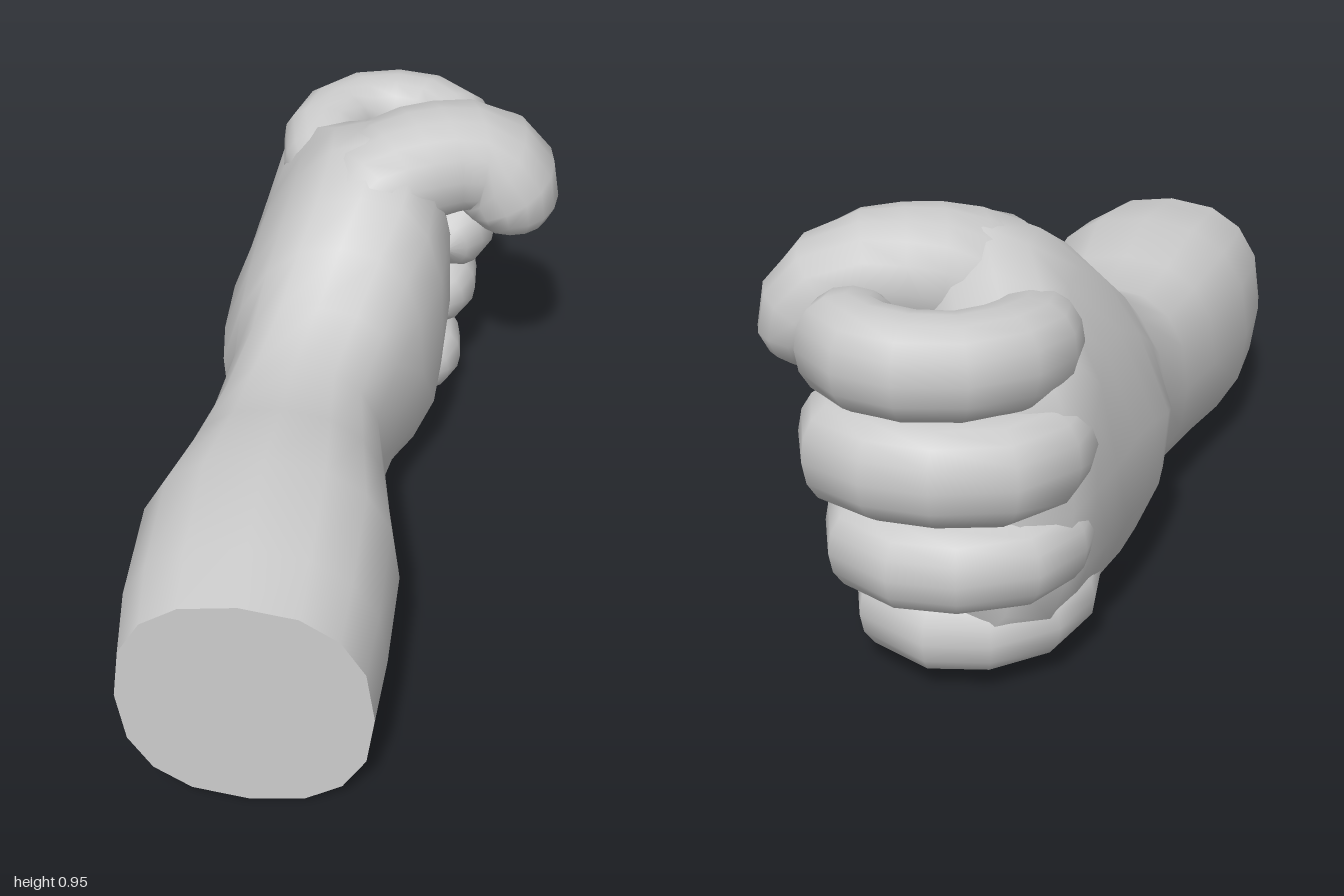
import * as THREE from 'three';

const SIDES = 16;
const material = new THREE.MeshStandardMaterial({ color: 0xcccccc });

// Rounded-square unit outline, counter-clockwise
function outline(i, power) {
  const a = (i / SIDES) * Math.PI * 2;
  const bend = (v) => Math.sign(v) * Math.pow(Math.abs(v), 2 / power);
  return [bend(Math.cos(a)), bend(Math.sin(a))];
}

// Skin a list of rings (arrays of Vector3) with smooth normals
function skin(name, rings) {
  const pos = [], index = [];
  rings.forEach((ring) => ring.forEach((p) => pos.push(p.x, p.y, p.z)));
  for (let k = 0; k < rings.length - 1; k++) {
    for (let i = 0; i < SIDES; i++) {
      const j = (i + 1) % SIDES;
      const a = k * SIDES + i, b = k * SIDES + j, c = a + SIDES, d = b + SIDES;
      index.push(a, c, b, b, c, d);
    }
  }
  const geo = new THREE.BufferGeometry();
  geo.setAttribute('position', new THREE.Float32BufferAttribute(pos, 3));
  geo.setIndex(index);
  geo.computeVertexNormals();
  const mesh = new THREE.Mesh(geo, material);
  mesh.name = name;
  return mesh;
}

// Round-ended limb along a path; widths are [in-plane, along ref] radii from root to tip
function limb(name, points, ref, widths, roundness) {
  const curve = new THREE.CatmullRomCurve3(points.map((p) => new THREE.Vector3(...p)));
  const steps = [0, 0.1, 0.2, 0.3, 0.4, 0.5, 0.6, 0.7, 0.8, 0.88, 0.94, 0.98, 1];
  const rings = steps.map((u) => {
    const centre = curve.getPointAt(u), t = curve.getTangentAt(u);
    const e1 = t.clone().cross(ref).normalize();
    const e2 = e1.clone().cross(t).normalize();
    const f = u * (widths.length - 1), k = Math.min(Math.floor(f), widths.length - 2);
    const over = Math.max(0, (u - 1 + roundness) / roundness);
    const cap = Math.sqrt(Math.max(0, 1 - over ** 2.6));
    const r = [0, 1].map((n) => THREE.MathUtils.lerp(widths[k][n], widths[k + 1][n], f - k) * cap);
    return Array.from({ length: SIDES }, (_, i) => {
      const [c, s] = outline(i, 2.2);
      return centre.clone().addScaledVector(e1, c * r[0]).addScaledVector(e2, s * r[1]);
    });
  });
  return skin(name, rings);
}

export function createModel() {
  const group = new THREE.Group();
  group.name = 'fist';

  // Forearm, wrist and palm: z, xMin, xMax, yMin, yMax, lean of the upper half
  const sections = [
    [1.0, -0.405, 0.145, 0.01, 0.57, 0],
    [0.85, -0.43, 0.153, 0.022, 0.595, 0],
    [0.6, -0.443, 0.15, 0.018, 0.63, 0],
    [0.37, -0.4, 0.1, 0.045, 0.595, 0],
    [0.17, -0.37, 0.06, 0.065, 0.58, 0],
    [0.0, -0.36, 0.09, 0.065, 0.64, 0.015],
    [-0.1, -0.39, 0.13, 0.035, 0.75, 0.05],
    [-0.2, -0.405, 0.17, 0.005, 0.84, 0.075],
    [-0.34, -0.405, 0.175, 0.005, 0.92, 0.09],
    [-0.46, -0.395, 0.15, 0.025, 0.92, 0.08],
    [-0.57, -0.38, 0.11, 0.045, 0.86, 0.03],
    [-0.66, -0.36, 0.07, 0.06, 0.81, -0.01],
    [-0.75, -0.335, 0.05, 0.08, 0.77, -0.01],
    [-0.84, -0.25, 0.03, 0.14, 0.7, 0],
    [-0.86, -0.12, -0.12, 0.42, 0.42, 0],
  ];
  const rings = sections.map(([z, x0, x1, y0, y1, lean]) =>
    Array.from({ length: SIDES }, (_, i) => {
      const [c, s] = outline(i, 2.4);
      const x = (x0 + x1) / 2 + (c * (x1 - x0)) / 2 + lean * Math.max(0, s) * (1 - 0.7 * c);
      return new THREE.Vector3(x, (y0 + y1) / 2 + (s * (y1 - y0)) / 2, z);
    }));
  group.add(skin('forearmAndPalm', rings));

  // Flat cut end of the forearm
  const cap = new THREE.Shape(rings[0].map((p) => new THREE.Vector2(p.x, p.y)));
  const capMesh = new THREE.Mesh(new THREE.ShapeGeometry(cap), material);
  capMesh.name = 'forearmEnd';
  capMesh.position.z = 1;
  group.add(capMesh);

  // Curled fingers: name, y at fold, y at tip, half height, knuckle x, xMax, zMin, tip z
  const up = new THREE.Vector3(0, 1, 0);
  const fingers = [
    ['indexFinger', 0.75, 0.71, 0.112, -0.205, 0.27, -0.97, -0.6],
    ['middleFinger', 0.545, 0.505, 0.116, -0.255, 0.275, -1.0, -0.53],
    ['ringFinger', 0.33, 0.315, 0.104, -0.25, 0.228, -0.98, -0.53],
    ['littleFinger', 0.135, 0.125, 0.1, -0.23, 0.197, -0.89, -0.465],
  ];
  for (const [name, y, tipY, h, kx, xMax, zMin, tipZ] of fingers) {
    const r = 0.11, cx = xMax - r, cz = zMin + r;
    group.add(limb(name, [
      [kx + 0.07, y + (0.45 - y) * 0.2, cz + 0.46],
      [kx, y + (0.45 - y) * 0.03, cz + 0.18],
      [kx + 0.07, y + 0.005, cz + 0.035],
      [-0.01, y + 0.005, cz],
      [cx - 0.035, y, cz + 0.06],
      [cx, (y + tipY) / 2, cz + 0.19],
      [cx - 0.02, tipY, tipZ],
    ], up, [[0.09, h * 0.85], [0.11, h * 0.97], [0.115, h], [r, h * 0.97], [r, h], [r, h], [0.1, h * 0.94]], 0.15));
  }

  // Thumb arching over from the palm
  group.add(limb('thumb', [
    [-0.12, 0.68, -0.3],
    [0.0, 0.785, -0.41],
    [0.12, 0.815, -0.475],
    [0.23, 0.805, -0.52],
    [0.305, 0.73, -0.535],
    [0.325, 0.595, -0.545],
  ], new THREE.Vector3(0, 0, 1),
  [[0.12, 0.16], [0.15, 0.185], [0.145, 0.165], [0.135, 0.155], [0.135, 0.17], [0.125, 0.16]], 0.22));

  return group;
}
